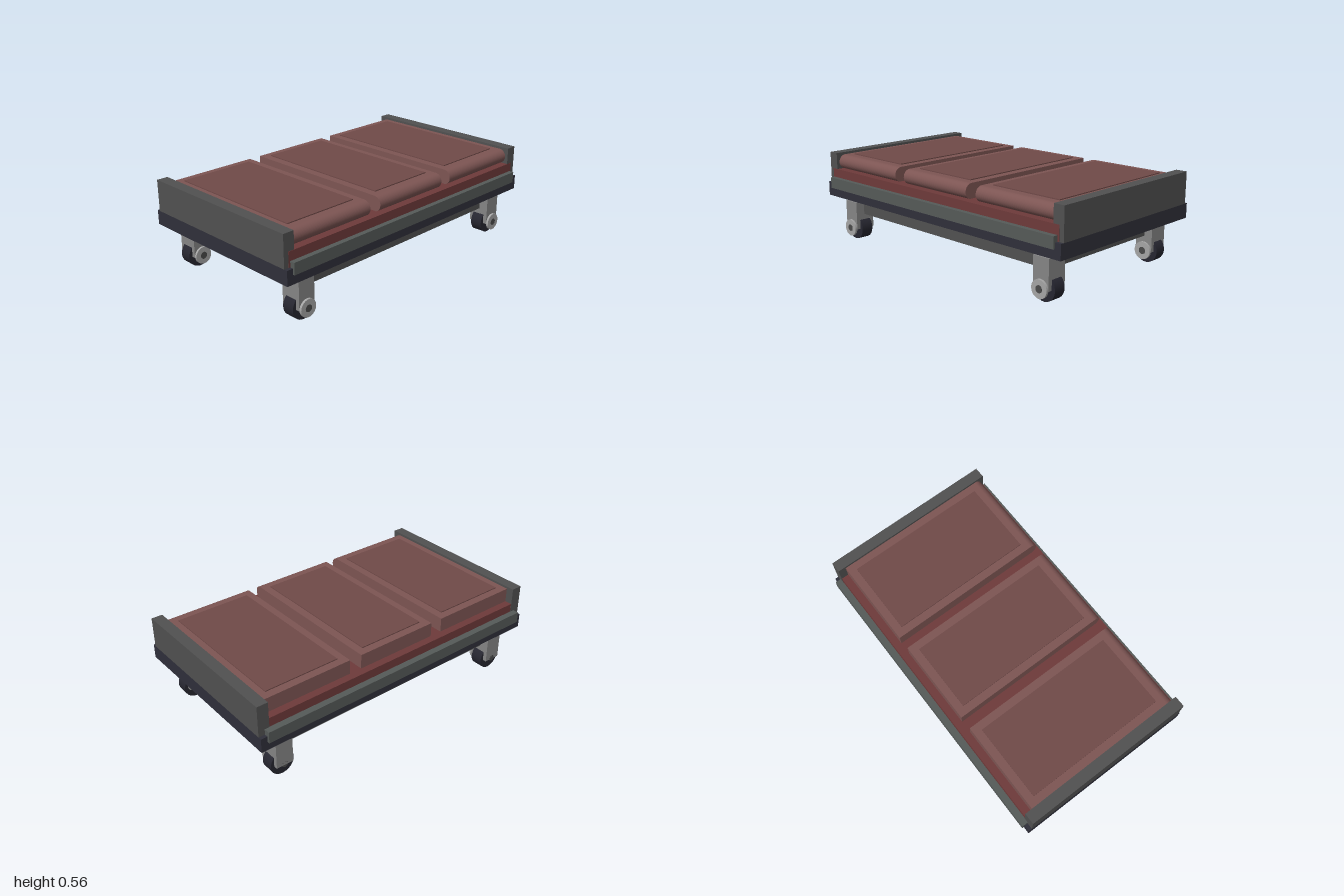
import * as THREE from 'three';

const mat = (color) => new THREE.MeshStandardMaterial({ color });

export function createModel() {
  const root = new THREE.Group();
  const dark = mat(0x2f2f3a), panelGrey = mat(0x505050), railGrey = mat(0x555a58);
  const red = mat(0x6e3a3a), cushionRed = mat(0x7d5553), insetRed = mat(0x704a48);
  const metal = mat(0x858585), capGrey = mat(0xa5a5a5), tyre = mat(0x262630), hub = mat(0x4a4a4a);

  function add(parent, name, geo, material) {
    const mesh = new THREE.Mesh(geo, material);
    mesh.name = name;
    parent.add(mesh);
    return mesh;
  }
  // box given by its minimum and maximum on each axis
  function box(parent, name, [x0, x1], [y0, y1], [z0, z1], material) {
    const mesh = add(parent, name, new THREE.BoxGeometry(x1 - x0, y1 - y0, z1 - z0), material);
    mesh.position.set((x0 + x1) / 2, (y0 + y1) / 2, (z0 + z1) / 2);
    return mesh;
  }
  // disc or drum with its axis along z
  function drum(parent, name, r, depth, y, z, material) {
    const geo = new THREE.CylinderGeometry(r, r, depth, 32).rotateX(Math.PI / 2);
    add(parent, name, geo, material).position.set(0, y, z);
  }

  // frame and mattress base
  box(root, 'baseFrame', [-1, 1], [0.28, 0.37], [-0.575, 0.577], dark);
  box(root, 'mattressBase', [-0.97, 0.97], [0.37, 0.46], [-0.552, 0.557], red);
  box(root, 'underPlate', [-0.83, 0.83], [0.17, 0.24], [-0.47, 0.47], panelGrey);
  box(root, 'frontRail', [-0.96, 0.96], [0.335, 0.405], [0.55, 0.588], railGrey);
  box(root, 'backRail', [-0.96, 0.96], [0.335, 0.405], [-0.592, -0.55], railGrey);
  box(root, 'rightEndPanel', [-1, -0.93], [0.37, 0.565], [-0.554, 0.555], panelGrey);
  box(root, 'leftEndPanel', [0.93, 1], [0.37, 0.565], [-0.554, 0.555], panelGrey);

  // three cushions with a rounded front edge and a slightly raised top
  const cushionBounds = [[-0.93, -0.35], [-0.27, 0.27], [0.35, 0.93]];
  for (const [x0, x1] of cushionBounds) {
    const cushion = new THREE.Group();
    cushion.name = 'cushion';
    root.add(cushion);
    const profile = new THREE.Shape();
    profile.moveTo(-0.505, 0.458);
    profile.lineTo(0.49, 0.458);
    profile.absarc(0.49, 0.504, 0.046, -Math.PI / 2, Math.PI / 2, false);
    profile.lineTo(-0.505, 0.55);
    profile.closePath();
    const body = new THREE.ExtrudeGeometry(profile, { depth: x1 - x0, bevelEnabled: false, curveSegments: 12 });
    body.rotateY(-Math.PI / 2).translate(x1, 0, 0);
    add(cushion, 'cushionBody', body, cushionRed);
    box(cushion, 'cushionTop', [x0 + 0.05, x1 - 0.05], [0.54, 0.556], [-0.455, 0.45], insetRed);
  }

  // four casters
  for (const x of [-0.828, 0.828]) {
    for (const z of [-0.465, 0.465]) {
      const caster = new THREE.Group();
      caster.name = 'caster';
      caster.position.set(x, 0, z);
      root.add(caster);
      box(caster, 'casterStem', [-0.042, 0.042], [0.25, 0.285], [-0.045, 0.045], metal);
      box(caster, 'forkBlock', [-0.055, 0.055], [0.135, 0.255], [-0.065, 0.065], metal);
      for (const s of [-1, 1]) {
        box(caster, 'forkCheek', [-0.055, 0.055], [0.075, 0.135], s < 0 ? [-0.065, -0.04] : [0.04, 0.065], metal);
      }
      drum(caster, 'wheel', 0.077, 0.078, 0.077, 0, tyre);
      drum(caster, 'axle', 0.02, 0.13, 0.08, 0, hub);
      drum(caster, 'wheelCap', 0.054, 0.014, 0.08, 0.072, capGrey);
      drum(caster, 'capBolt', 0.022, 0.004, 0.08, 0.079, hub);
    }
  }
  return root;
}
